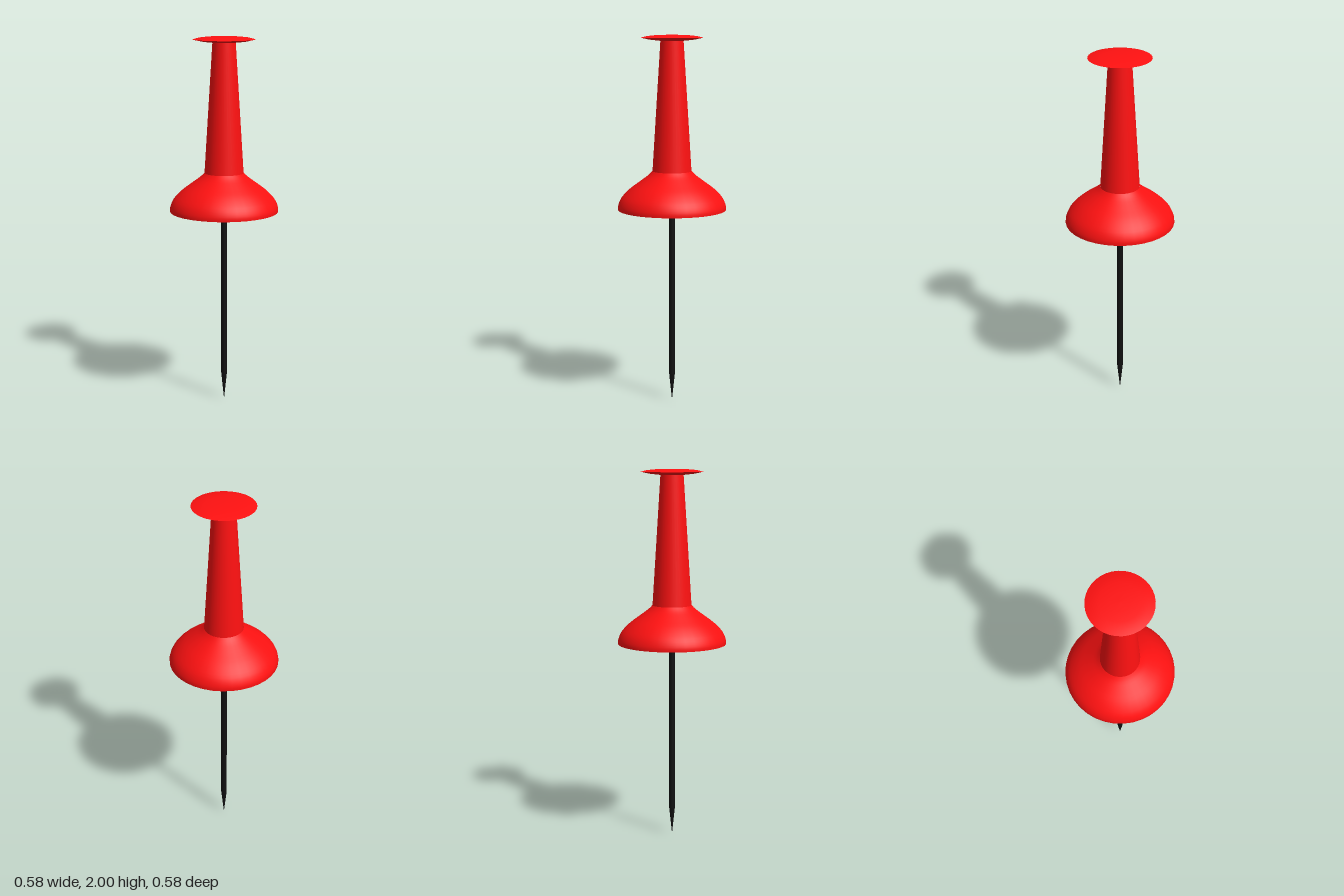
import * as THREE from 'three';

const SEGMENTS = 36;
const red = new THREE.MeshStandardMaterial({ color: 0xff1111 });
const black = new THREE.MeshStandardMaterial({ color: 0x111111 });

// Profile points are [radius, height], listed from bottom to top.
function lathe(name, profile, material = red, segments = SEGMENTS) {
  const points = profile.map(([r, y]) => new THREE.Vector2(r, y));
  const mesh = new THREE.Mesh(new THREE.LatheGeometry(points, segments), material);
  mesh.name = name;
  return mesh;
}

export function createModel() {
  const model = new THREE.Group();
  model.name = 'pushPin';

  // Needle: pointed tip and straight shaft
  const needle = new THREE.Group();
  needle.name = 'needle';
  needle.add(
    lathe('needleTip', [[0, 0], [0.016, 0.15]], black, 16),
    lathe('needleShaft', [[0.016, 0.15], [0.016, 1.08]], black, 16)
  );

  // Collar: flat underside and a rounded flank flaring into the grip
  const collar = new THREE.Group();
  collar.name = 'collar';
  const flank = new THREE.SplineCurve([
    [0.292, 1.07], [0.29, 1.095], [0.271, 1.135], [0.228, 1.18],
    [0.175, 1.22], [0.128, 1.255], [0.105, 1.278],
  ].map(([r, y]) => new THREE.Vector2(r, y)));
  collar.add(
    lathe('collarUnderside', [[0, 1.07], [0.292, 1.07]]),
    lathe('collarFlank', flank.getPoints(18).map((p) => [p.x, p.y]))
  );

  // Tapered grip
  const grip = lathe('grip', [[0.105, 1.277], [0.061, 1.975]]);

  // Thin cap: shallow dome above, shallow dish below
  const cap = new THREE.Group();
  cap.name = 'cap';
  cap.add(
    lathe('capUnderside', [[0, 1.967], [0.065, 1.969], [0.12, 1.975], [0.165, 1.985]]),
    lathe('capTop', [[0.165, 1.985], [0.135, 1.993], [0.1, 1.997], [0.05, 1.9995], [0, 2]])
  );

  model.add(needle, collar, grip, cap);
  return model;
}
